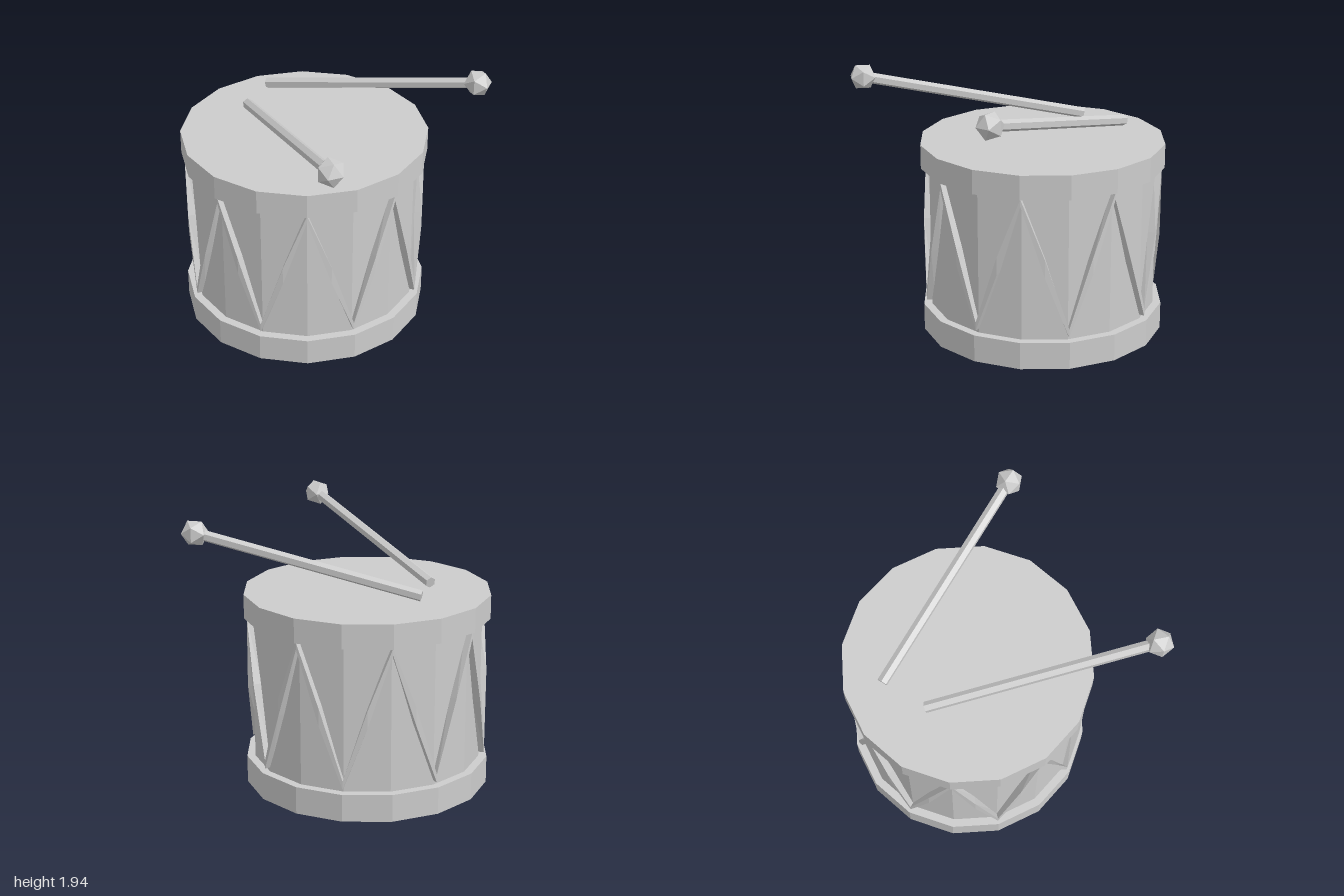
import * as THREE from 'three';

const SIDES = 16;

export function createModel() {
  const model = new THREE.Group();
  const grey = new THREE.MeshStandardMaterial({ color: 0xcccccc, flatShading: true });
  grey.name = 'light grey';

  const add = (parent, name, geometry) => {
    const mesh = new THREE.Mesh(geometry, grey);
    mesh.name = name;
    parent.add(mesh);
    return mesh;
  };

  // Drum: shell between two wider hoops
  const drum = new THREE.Group();
  drum.name = 'drum';
  drum.position.set(-0.11, 0, -0.01);
  model.add(drum);
  const ring = (name, radius, y0, y1) => {
    const mesh = add(drum, name, new THREE.CylinderGeometry(radius, radius, y1 - y0, SIDES));
    mesh.position.y = (y0 + y1) / 2;
  };
  ring('bottomHoop', 0.89, 0, 0.2);
  ring('shell', 0.83, 0.19, 1.26);
  ring('topHoop', 0.89, 1.25, 1.425);
  add(drum, 'zigzagCord', cordGeometry());

  // Sticks: hexagonal shaft with a faceted bead at the raised end
  const stick = (name, butt, tip) => {
    const group = new THREE.Group();
    group.name = name;
    model.add(group);
    const along = tip.clone().sub(butt);
    const shaft = add(group, 'shaft', new THREE.CylinderGeometry(0.04, 0.04, along.length(), 6));
    shaft.position.copy(butt).lerp(tip, 0.5);
    const axis = along.clone().normalize();
    const side = axis.clone().cross(new THREE.Vector3(0, 1, 0)).normalize();
    const up = side.clone().cross(axis);
    // One edge of the hexagon points upward
    shaft.quaternion.setFromRotationMatrix(new THREE.Matrix4().makeBasis(side.negate(), axis, up.negate()));
    if (shaft.matrix.determinant() < 0) shaft.scale.x = 1;
    const bead = add(group, 'bead', new THREE.IcosahedronGeometry(0.1, 0));
    bead.position.copy(tip);
    bead.rotation.y = -Math.atan2(along.z, along.x);
  };
  stick('frontStick', new THREE.Vector3(-0.565, 1.51, 0.11), new THREE.Vector3(0.9, 1.855, 0.8));
  stick('backStick', new THREE.Vector3(-0.69, 1.51, -0.215), new THREE.Vector3(0.835, 1.855, -0.77));

  return model;
}

// Closed zigzag band: peaks, slope middles and valleys around the shell
function cordGeometry() {
  const spans = [[1.25, 1.2], [0.81, 0.68], [0.29, 0.23], [0.81, 0.68]];
  const count = SIDES * 2;
  const inner = 0.81, outer = 0.87;
  const points = [], index = [];
  for (let i = 0; i < count; i++) {
    const angle = (i / count) * Math.PI * 2;
    const [top, bottom] = spans[i % 4];
    for (const [r, y] of [[outer, top], [outer, bottom], [inner, bottom], [inner, top]]) {
      points.push(r * Math.sin(angle), y, r * Math.cos(angle));
    }
    const next = (i + 1) % count;
    for (let j = 0; j < 4; j++) {
      const k = (j + 1) % 4;
      const a = i * 4 + j, b = i * 4 + k, c = next * 4 + k, d = next * 4 + j;
      index.push(a, b, d, b, c, d);
    }
  }
  const indexed = new THREE.BufferGeometry();
  indexed.setAttribute('position', new THREE.Float32BufferAttribute(points, 3));
  indexed.setIndex(index);
  const geometry = indexed.toNonIndexed();
  geometry.computeVertexNormals();
  return geometry;
}
